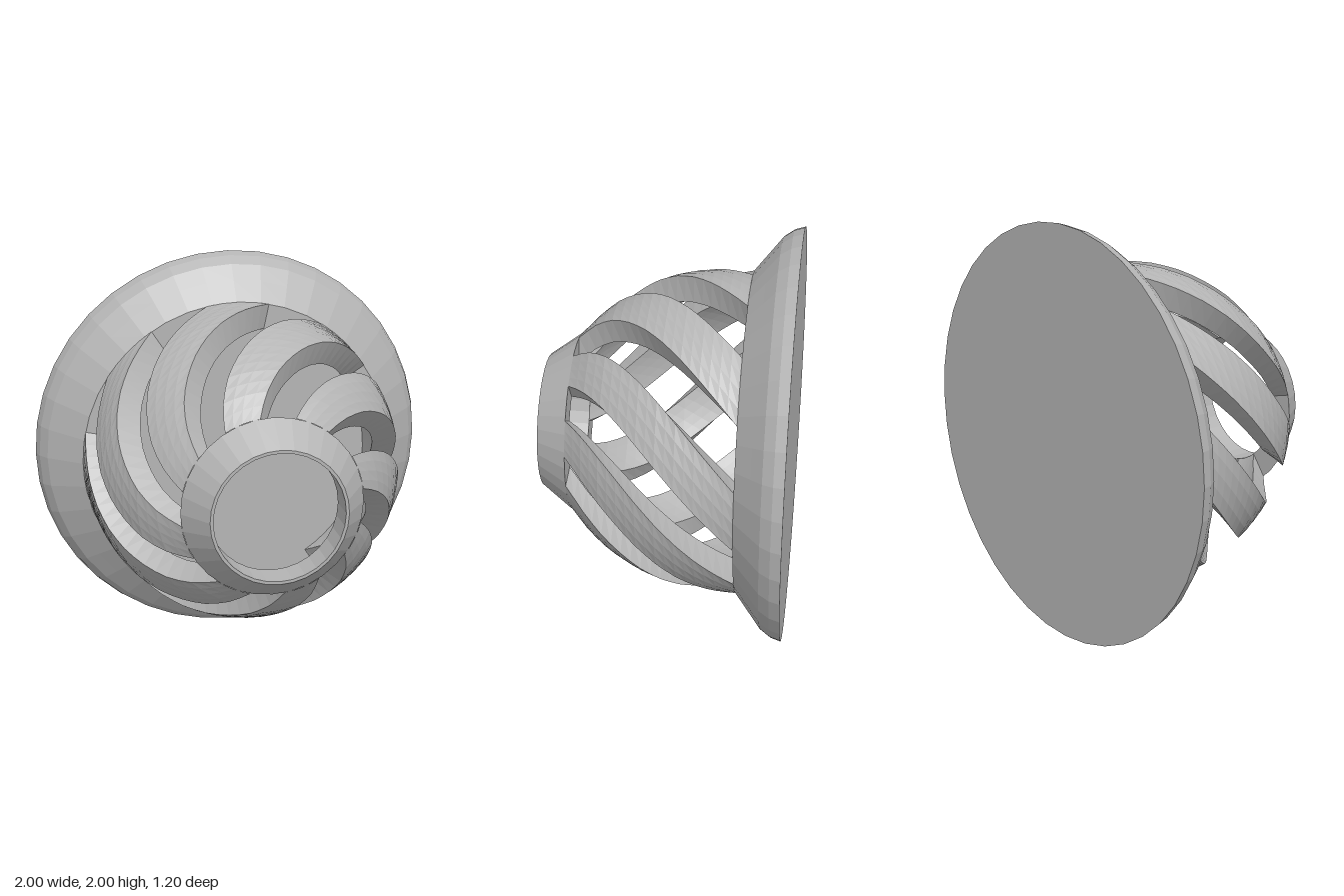
import * as THREE from 'three';

const Z0 = -0.37, Z1 = 0.45;      // rib start (flange) and end (collar)
const DEG = Math.PI / 180;
const RIBS = 8, TWIST = 65, RIB_START = -11, RIB_WIDTH = 23;

// outer radius of the domed cage along z, as [z, radius]
const DOME = [
  [-0.37, 0.785], [-0.2, 0.777], [-0.1, 0.765], [0, 0.742], [0.1, 0.705],
  [0.2, 0.652], [0.28, 0.6], [0.36, 0.53], [0.45, 0.435],
];

function domeRadius(z) {
  for (let i = 1; i < DOME.length; i++) {
    const [za, ra] = DOME[i - 1], [zb, rb] = DOME[i];
    if (z <= zb) return ra + (rb - ra) * (z - za) / (zb - za);
  }
  return DOME[DOME.length - 1][1];
}

// closed profile turned around the z axis
function turned(profile, segments) {
  const points = profile.map(([r, z]) => new THREE.Vector2(r, z));
  return new THREE.LatheGeometry(points, segments).rotateX(Math.PI / 2);
}

// one curved, twisted bar following the dome
function ribGeometry() {
  const steps = 18, across = 4, thickness = 0.125;
  const positions = [], index = [], loop = 2 * (across + 1);
  for (let i = 0; i <= steps; i++) {
    const t = i / steps, z = Z0 + (Z1 - Z0) * t;
    const outer = domeRadius(z), start = RIB_START - TWIST * t;
    for (let k = 0; k < loop; k++) {
      const onOuter = k <= across;
      const u = (onOuter ? k : loop - 1 - k) / across;
      const a = (start + RIB_WIDTH * u) * DEG;
      const r = onOuter ? outer : outer - thickness;
      positions.push(r * Math.sin(a), r * Math.cos(a), z);
    }
  }
  for (let i = 0; i < steps; i++) {
    for (let k = 0; k < loop; k++) {
      const a = i * loop + k, b = i * loop + (k + 1) % loop;
      index.push(a, a + loop, b, b, a + loop, b + loop);
    }
  }
  const g = new THREE.BufferGeometry();
  g.setAttribute('position', new THREE.Float32BufferAttribute(positions, 3));
  g.setIndex(index);
  g.computeVertexNormals();
  return g;
}

export function createModel() {
  const group = new THREE.Group();
  const grey = new THREE.MeshStandardMaterial({ color: 0xb4b4b4, flatShading: true });
  grey.name = 'grey';

  const add = (name, geometry) => {
    const mesh = new THREE.Mesh(geometry, grey);
    mesh.name = name;
    mesh.position.y = 1;
    group.add(mesh);
    return mesh;
  };

  // solid flange with a flat back and a rounded rim
  add('flange', turned([
    [0, -0.6], [1, -0.6], [0.985, -0.55], [0.95, -0.5], [0.88, -0.445],
    [0.785, Z0], [0, Z0],
  ], 40));

  // tapered collar around the front opening
  add('collar', turned([
    [0.31, Z1], [0.435, Z1], [0.325, 0.6], [0.31, 0.6], [0.31, Z1],
  ], 32));

  // spiral cage
  const rib = ribGeometry();
  for (let i = 0; i < RIBS; i++) {
    add('spiralRib', rib).rotation.z = i * 2 * Math.PI / RIBS;
  }
  return group;
}
